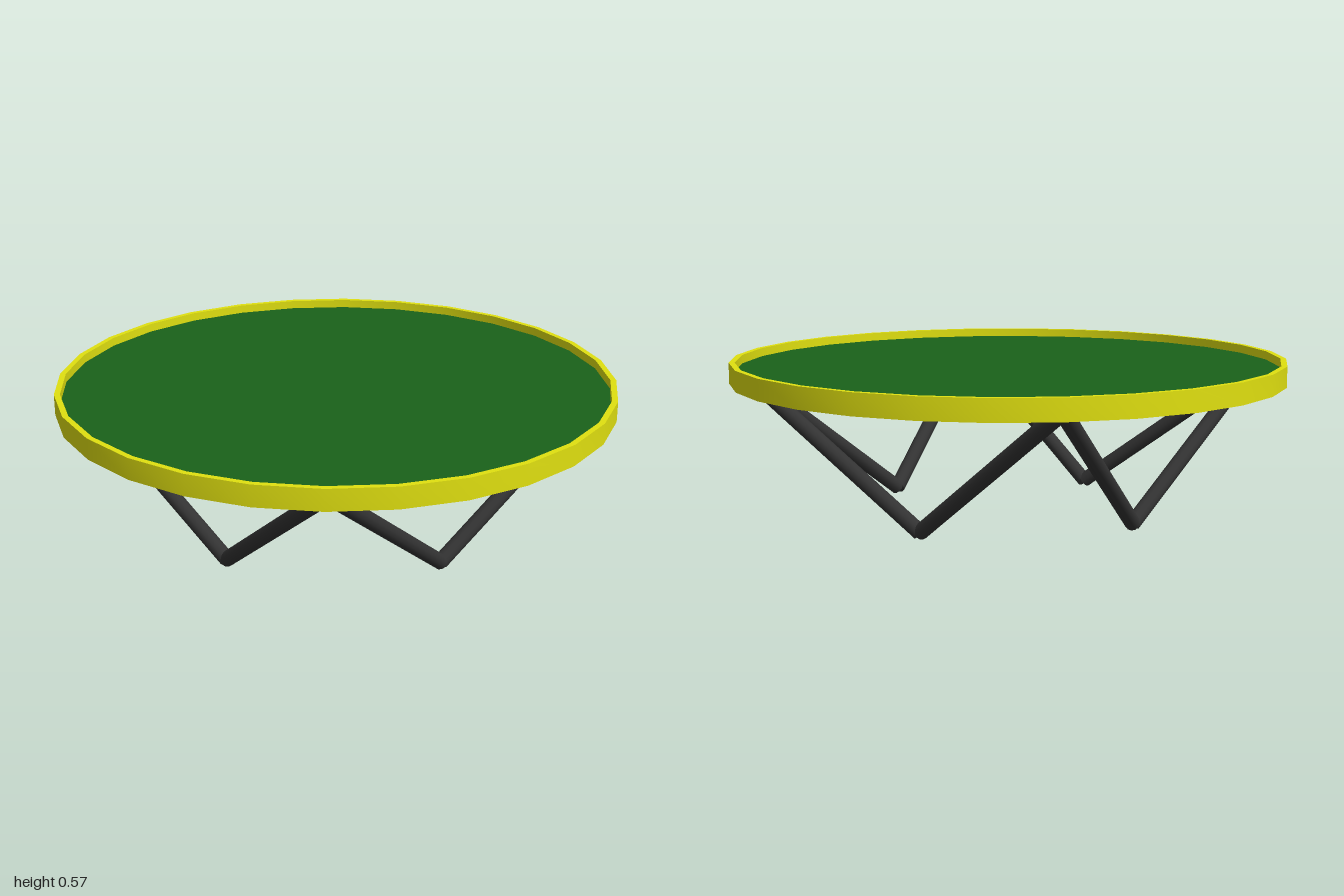
import * as THREE from 'three';
import { toCreasedNormals } from 'three/addons/utils/BufferGeometryUtils.js';

const SIDES = 28;
const TURN = THREE.MathUtils.degToRad(-4.65);

const rimMaterial = new THREE.MeshStandardMaterial({ color: 0xe0e010 });
const sheetMaterial = new THREE.MeshStandardMaterial({ color: 0x1a621a });
const legMaterial = new THREE.MeshStandardMaterial({ color: 0x333333 });

// Straight round bar between two points
function bar(a, b, radius, name) {
  const dir = b.clone().sub(a);
  const mesh = new THREE.Mesh(new THREE.CylinderGeometry(radius, radius, dir.length(), 12), legMaterial);
  mesh.position.copy(a).add(b).multiplyScalar(0.5);
  mesh.quaternion.setFromUnitVectors(new THREE.Vector3(0, 1, 0), dir.normalize());
  mesh.name = name;
  return mesh;
}

// Point on a circle around the y axis
function polar(degrees, radius, y) {
  const t = THREE.MathUtils.degToRad(degrees);
  return new THREE.Vector3(radius * Math.cos(t), y, radius * Math.sin(t));
}

export function createModel() {
  const model = new THREE.Group();
  model.name = 'roundTable';

  // Thin upright band around the edge
  const profile = [[1.003, 0.5], [1.003, 0.575], [0.982, 0.575], [0.982, 0.5], [1.003, 0.5]]
    .map(([x, y]) => new THREE.Vector2(x, y));
  const rim = new THREE.Mesh(
    toCreasedNormals(new THREE.LatheGeometry(profile, SIDES, TURN), 0.6), rimMaterial);
  rim.name = 'rim';
  model.add(rim);

  // Flat sheet set halfway up inside the rim
  const sheet = new THREE.Mesh(
    new THREE.CylinderGeometry(0.985, 0.985, 0.012, SIDES, 1, false, TURN), sheetMaterial);
  sheet.position.y = 0.538;
  sheet.name = 'sheet';
  model.add(sheet);

  // Zigzag of bars: four feet, each joined to the two nearest top points
  const legs = new THREE.Group();
  legs.name = 'legs';
  for (let i = 0; i < 4; i++) {
    const foot = polar(75 + i * 90, 0.53, 0.025);
    for (const side of [-45, 45]) {
      const top = polar(75 + i * 90 + side, 0.93, 0.52);
      legs.add(bar(foot, top, 0.028, 'legBar'));
    }
  }
  model.add(legs);

  return model;
}
